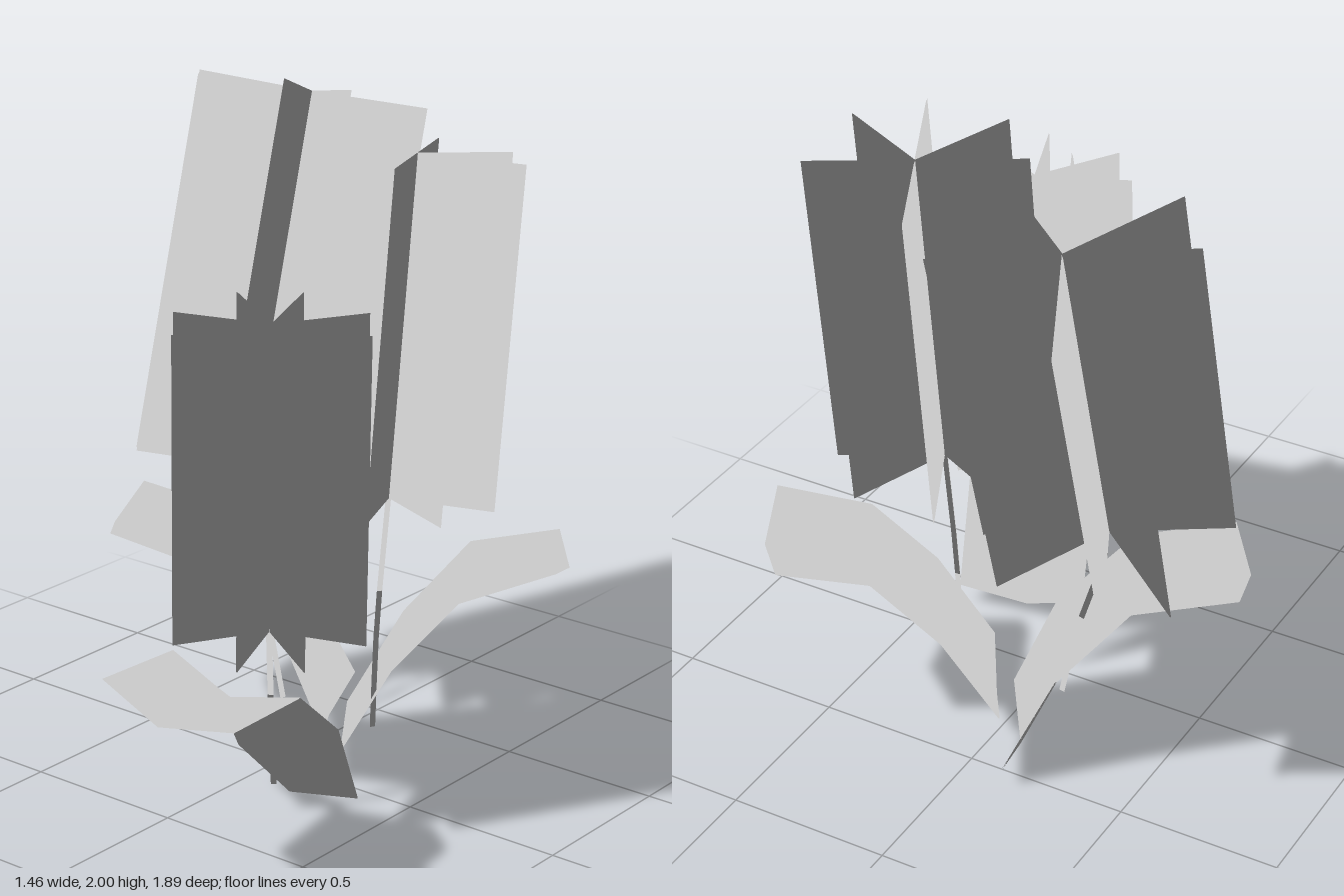
import * as THREE from 'three';

const material = new THREE.MeshStandardMaterial({ color: 0xcccccc, side: THREE.DoubleSide });
const up = new THREE.Vector3(0, 1, 0);
const vec = (p) => new THREE.Vector3(...p);

// Foliage shading: every normal points straight up, so all parts are lit evenly
function foliageMesh(name, geometry) {
  const count = geometry.attributes.position.count;
  const normals = Array.from({ length: count }, () => up.toArray()).flat();
  geometry.setAttribute('normal', new THREE.Float32BufferAttribute(normals, 3));
  const mesh = new THREE.Mesh(geometry, material);
  mesh.name = name;
  return mesh;
}

// Paper-thin sheet through rows of points: two layers, each facing outwards
function sheet(name, rows) {
  const columns = rows[0].length;
  const index = [];
  for (let r = 0; r < rows.length - 1; r++) {
    for (let c = 0; c < columns - 1; c++) {
      const a = r * columns + c, b = a + 1, d = a + columns, e = d + 1;
      index.push(a, b, d, b, e, d);
    }
  }
  const middle = new THREE.BufferGeometry();
  middle.setAttribute('position', new THREE.Float32BufferAttribute(rows.flat(2), 3));
  middle.setIndex(index);
  middle.computeVertexNormals();
  const { position, normal } = middle.attributes;

  const points = [];
  for (const offset of [0.001, -0.001]) {
    for (let i = 0; i < position.count; i++) {
      const p = new THREE.Vector3().fromBufferAttribute(position, i);
      const n = new THREE.Vector3().fromBufferAttribute(normal, i);
      points.push(p.addScaledVector(n, offset));
    }
  }
  const back = index.map((i) => i + position.count).reverse();
  const geometry = new THREE.BufferGeometry().setFromPoints(points);
  geometry.setIndex([...index, ...back]);
  return foliageMesh(name, geometry);
}

// Flower head: four flat cards crossing on a leaning axis
function flowerHead(name, bottom, top, radius, angles) {
  const group = new THREE.Group();
  group.name = name;
  const b = vec(bottom), t = vec(top);
  const lean = new THREE.Quaternion().setFromUnitVectors(up, t.clone().sub(b).normalize());
  for (const angle of angles) {
    const a = THREE.MathUtils.degToRad(angle);
    const side = new THREE.Vector3(Math.cos(a), 0, Math.sin(a)).multiplyScalar(radius).applyQuaternion(lean);
    const row = (p) => [p.clone().sub(side).toArray(), p.clone().add(side).toArray()];
    group.add(sheet('petalCard', [row(b), row(t)]));
  }
  return group;
}

// Thin three-sided stalk bending up into its flower head
function stem(name, points) {
  const curve = new THREE.CatmullRomCurve3(points.map(vec));
  return foliageMesh(name, new THREE.TubeGeometry(curve, 5, 0.01, 3));
}

export function createModel() {
  const plant = new THREE.Group();
  plant.name = 'floweringPlant';

  plant.add(
    flowerHead('tallFlowerHead', [-0.33, 0.795, -0.272], [-0.38, 1.893, -0.637], 0.36, [34, 66, 124, 155]),
    flowerHead('middleFlowerHead', [0.243, 0.84, -0.22], [0.252, 1.855, -0.325], 0.314, [25, 65, 115, 155]),
    flowerHead('shortFlowerHead', [0.22, 0.58, 0.305], [0.252, 1.5, 0.332], 0.288, [31, 69, 121, 160])
  );

  plant.add(
    stem('tallStem', [[-0.14, 0.11, -0.2], [-0.19, 0.36, -0.19], [-0.26, 0.58, -0.2], [-0.3, 0.7, -0.225], [-0.32, 0.805, -0.27]]),
    stem('middleStem', [[0.205, 0.11, -0.2], [0.225, 0.45, -0.19], [0.24, 0.85, -0.22]]),
    stem('shortStem', [[0.205, 0.09, 0.265], [0.225, 0.3, 0.3], [0.22, 0.59, 0.305]])
  );

  // Creased leaves: each row is edge, midrib, edge, from base to tip
  plant.add(
    sheet('rightLeaf', [
      [[0.05, 0.05, -0.16], [-0.09, 0.005, -0.365], [-0.145, 0.07, -0.57]],
      [[-0.07, 0.355, -0.11], [-0.21, 0.31, -0.27], [-0.27, 0.37, -0.48]],
      [[-0.26, 0.575, 0.03], [-0.4, 0.535, -0.15], [-0.45, 0.6, -0.36]],
      [[-0.535, 0.65, 0.135], [-0.665, 0.61, -0.03], [-0.73, 0.67, -0.24]]
    ]),
    sheet('frontLeaf', [
      [[0.43, 0.07, 0.16], [0.215, 0.045, 0.205], [0.01, 0.13, 0.19]],
      [[0.49, 0.36, 0.33], [0.275, 0.33, 0.38], [0.07, 0.4, 0.375]],
      [[0.54, 0.55, 0.565], [0.335, 0.515, 0.62], [0.115, 0.59, 0.6]],
      [[0.578, 0.57, 0.89], [0.36, 0.545, 0.945], [0.155, 0.625, 0.935]]
    ]),
    sheet('backLeftLeaf', [
      [[0.215, 0.06, 0.005], [0.095, 0.005, -0.19], [-0.02, 0.07, -0.37]],
      [[0.35, 0.36, -0.1], [0.22, 0.32, -0.3], [0.11, 0.37, -0.48]],
      [[0.505, 0.575, -0.215], [0.4, 0.54, -0.43], [0.27, 0.6, -0.6]],
      [[0.725, 0.67, -0.385], [0.64, 0.61, -0.585], [0.495, 0.65, -0.745]]
    ])
  );
  return plant;
}
